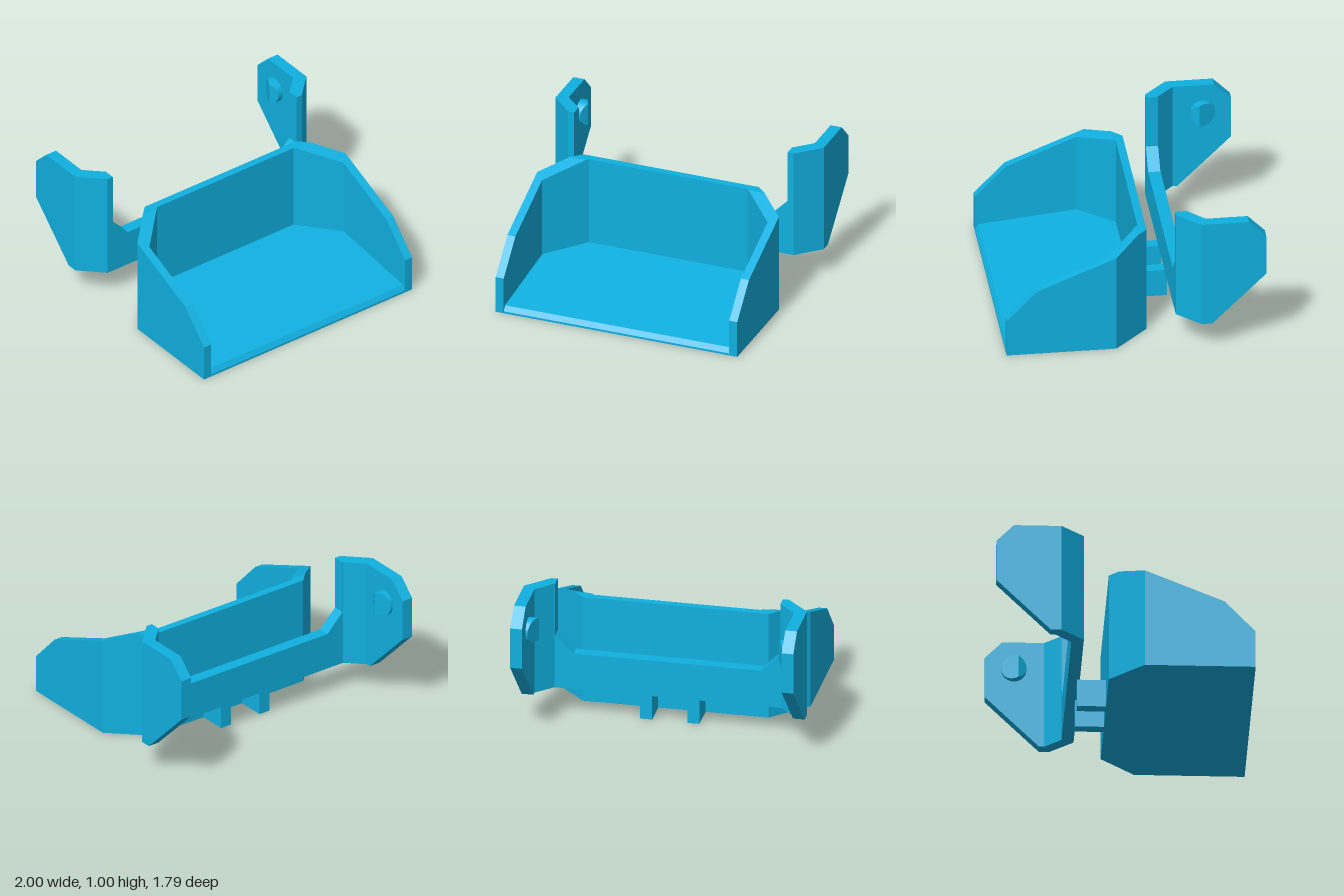
import * as THREE from 'three';
import { ConvexGeometry } from 'three/addons/geometries/ConvexGeometry.js';

const material = new THREE.MeshStandardMaterial({ color: 0x10b0e0, flatShading: true });

function addMesh(parent, name, geometry) {
  const mesh = new THREE.Mesh(geometry, material);
  mesh.name = name;
  parent.add(mesh);
  return mesh;
}

// Flat-faced solid through convex cross-sections, with both ends capped.
function loft(sections) {
  const pos = [];
  const tri = (...corners) => corners.forEach((c) => pos.push(...c));
  const n = sections[0].length;
  for (let i = 0; i < sections.length - 1; i++) {
    for (let j = 0; j < n; j++) {
      const k = (j + 1) % n;
      const [a, b, c, d] = [sections[i][j], sections[i][k], sections[i + 1][k], sections[i + 1][j]];
      tri(a, d, c);
      tri(a, c, b);
    }
  }
  const first = sections[0], last = sections[sections.length - 1];
  for (let j = 1; j < n - 1; j++) {
    tri(first[0], first[j], first[j + 1]);
    tri(last[0], last[j + 1], last[j]);
  }
  const geometry = new THREE.BufferGeometry();
  geometry.setAttribute('position', new THREE.Float32BufferAttribute(pos, 3));
  geometry.computeVertexNormals();
  return geometry;
}

const mirrorX = (section) => section.map(([x, y, z]) => [-x, y, z]);

// Bucket: one wall running round three sides, plus a wedge-shaped floor.
function createBucket() {
  const bucket = new THREE.Group();
  bucket.name = 'bucket';

  // Outer x, outer z, inner x, inner z, outer top, inner top
  const half = [
    [0.9, 0.895, 0.84, 0.895, 0.27, 0.27],
    [0.9, 0.68, 0.84, 0.68, 0.495, 0.495],
    [0.9, 0.13, 0.84, 0.19, 0.72, 0.696],
    [0.725, -0.04, 0.605, -0.04, 0.79, 0.79],
    [0.655, -0.11, 0.59, -0.055, 0.79, 0.79],
  ].map(([ox, oz, ix, iz, oy, iy]) => [[ox, 0, oz], [ox, oy, oz], [ix, iy, iz], [ix, 0, iz]]);
  addMesh(bucket, 'bucketWall', loft([...half, ...half.map(mirrorX).reverse()]));

  // z, half width, top height
  const floor = [
    [0.895, 0.84, 0.015],
    [0.87, 0.84, 0.05],
    [0.19, 0.84, 0.12],
    [-0.055, 0.59, 0.145],
  ].map(([z, w, y]) => [[w, 0, z], [w, y, z], [-w, y, z], [-w, 0, z]]);
  addMesh(bucket, 'bucketFloor', loft(floor));

  for (const side of [-1, 1]) {
    const prong = addMesh(bucket, 'rearProng', new THREE.BoxGeometry(0.085, 0.2, 0.2));
    prong.position.set(side * 0.167, 0.1, -0.21);
  }
  return bucket;
}

// Round pin whose end is cut to a vertical ridge.
function createPinGeometry(side) {
  const r = 0.087, cy = 0.79, cz = -0.7, ridge = -0.67, face = 0.917;
  const angles = Array.from({ length: 48 }, (_, i) => (i / 48) * Math.PI * 2);
  const ridgeAngle = Math.acos((ridge - cz) / r);
  angles.push(ridgeAngle, -ridgeAngle);
  const points = [];
  for (const a of angles) {
    const z = cz + r * Math.cos(a), y = cy + r * Math.sin(a);
    const depth = Math.min(0.07 + (z - ridge) * 0.478, 0.07 - (z - ridge) * 0.636);
    points.push(new THREE.Vector3(side * (face + 0.02), y, z));
    points.push(new THREE.Vector3(side * (face - depth), y, z));
  }
  return new ConvexGeometry(points);
}

// Bracket: low cross bar between two tall arms that bend backwards.
function createBracket() {
  const bracket = new THREE.Group();
  bracket.name = 'bracket';

  const shape = new THREE.Shape([
    [-0.795, 0.21], [0.795, 0.21], [0.795, 0.61], [0.665, 0.48], [-0.665, 0.48], [-0.795, 0.61],
  ].map(([x, y]) => new THREE.Vector2(x, y)));
  const bar = new THREE.ExtrudeGeometry(shape, { depth: 0.085, bevelEnabled: false });
  addMesh(bracket, 'crossBar', bar.translate(0, 0, -0.375));

  // Outer x, outer z, inner x, inner z, bottom, top
  const arm = [
    [0.795, -0.29, 0.795, -0.375, 0.21, 1],
    [0.84, -0.29, 0.8, -0.375, 0.21, 1],
    [1, -0.45, 0.917, -0.49, 0.21, 1],
    [1, -0.525, 0.917, -0.525, 0.21, 1],
    [1, -0.78, 0.917, -0.78, 0.461, 1],
    [1, -0.9, 0.917, -0.9, 0.58, 0.88],
  ].map(([ox, oz, ix, iz, b, t]) => [[ox, b, oz], [ox, t, oz], [ix, t, iz], [ix, b, iz]]);
  addMesh(bracket, 'leftArm', loft(arm));
  addMesh(bracket, 'rightArm', loft(arm.map(mirrorX).reverse()));

  addMesh(bracket, 'leftPin', createPinGeometry(1));
  addMesh(bracket, 'rightPin', createPinGeometry(-1));
  return bracket;
}

export function createModel() {
  const model = new THREE.Group();
  model.name = 'bucketAttachment';
  model.add(createBucket(), createBracket());
  return model;
}
